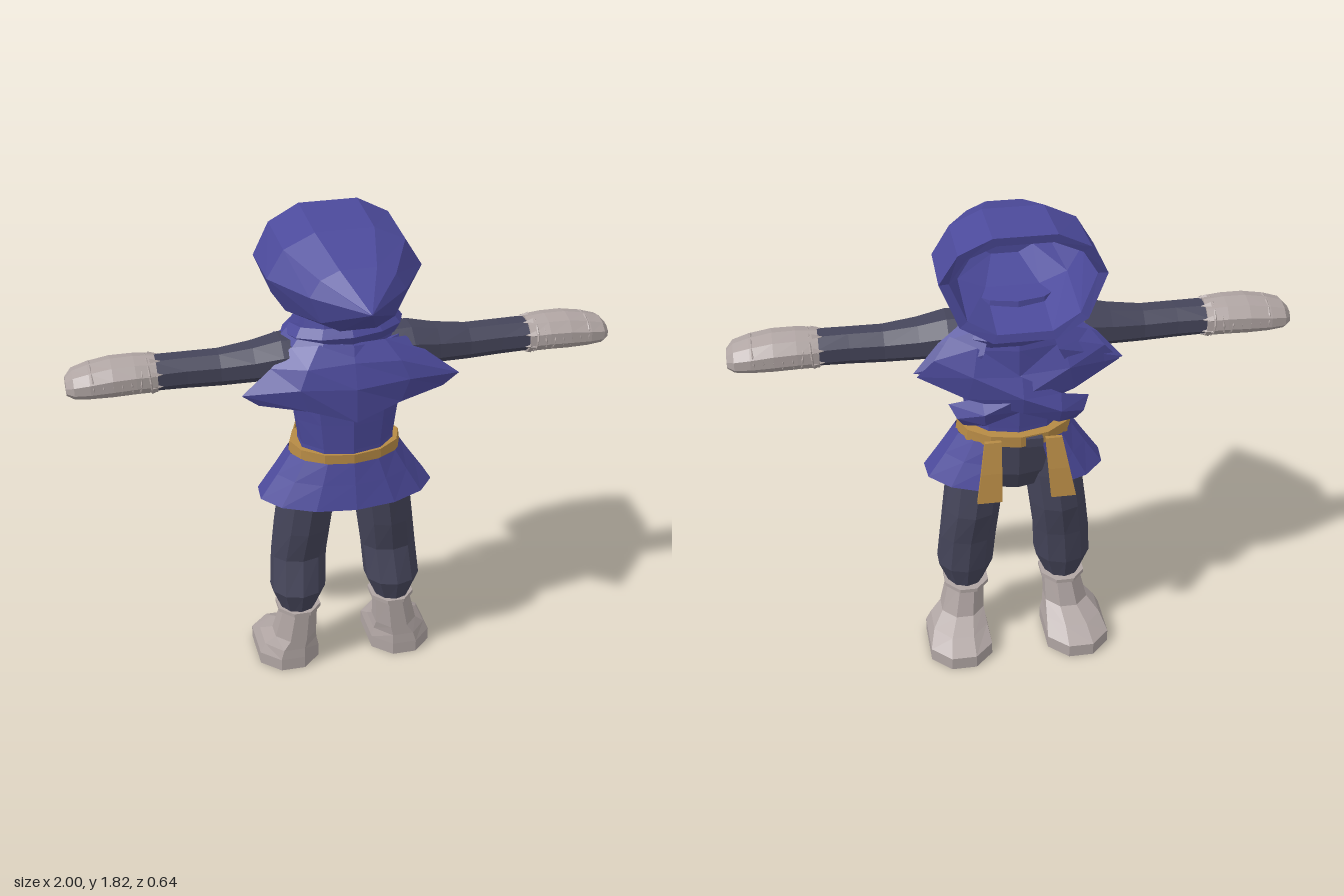
import * as THREE from 'three';

const make = (name, color, side = THREE.FrontSide) =>
  new THREE.MeshStandardMaterial({ name, color, side, flatShading: true });

// Joins rows of points into faces; closed rows are capped and turned outward.
function loft(rows, closed = true) {
  const n = rows[0].length, pos = [], idx = [];
  rows.forEach(r => r.forEach(p => pos.push(...p)));
  const cols = closed ? n : n - 1;
  for (let i = 0; i < rows.length - 1; i++) for (let j = 0; j < cols; j++) {
    const a = i * n + j, b = i * n + (j + 1) % n;
    idx.push(a, b, b + n, a, b + n, a + n);
  }
  if (closed) {
    [0, rows.length - 1].forEach((k, e) => {
      const c = [0, 1, 2].map(q => rows[k].reduce((s, p) => s + p[q], 0) / n);
      const ci = pos.length / 3;
      pos.push(...c);
      for (let j = 0; j < n; j++) {
        const a = k * n + j, b = k * n + (j + 1) % n;
        if (e) idx.push(ci, a, b); else idx.push(ci, b, a);
      }
    });
    // Reverse the faces when the enclosed volume comes out negative
    const v = i => new THREE.Vector3().fromArray(pos, i * 3);
    let vol = 0;
    for (let i = 0; i < idx.length; i += 3) vol += v(idx[i]).dot(v(idx[i + 1]).cross(v(idx[i + 2])));
    if (vol < 0) idx.reverse();
  }
  const g = new THREE.BufferGeometry();
  g.setAttribute('position', new THREE.Float32BufferAttribute(pos, 3));
  g.setIndex(idx);
  const flat = g.toNonIndexed();
  flat.computeVertexNormals();
  return flat;
}

// Horizontal ellipse; angle 0 lies at the face side (-z)
const ellipse = (cx, y, cz, rx, rz, n = 12, from = 0, to = Math.PI * 2, open = false) =>
  Array.from({ length: n }, (_, i) => {
    const a = from + (to - from) * i / (open ? n - 1 : n);
    return [cx + rx * Math.sin(a), y, cz - rz * Math.cos(a)];
  });

export function createModel() {
  const model = new THREE.Group();
  model.name = 'hoodedFigure';
  const blue = make('blue cloth', 0x4c4a9b);
  const blueOpen = make('blue drape', 0x4c4a9b, THREE.DoubleSide);
  const dark = make('dark cloth', 0x45455a);
  const beige = make('pale leather', 0xb0a5a3);
  const gold = make('ochre sash', 0xb68a45);
  const add = (name, geo, mat) => {
    const m = new THREE.Mesh(geo, mat);
    m.name = name;
    model.add(m);
    return m;
  };

  // Pointed hood: hollow shell from the rear point to the mouth and back inside
  const hoodRing = (z, w, top, mid, bottom, bend = 0) => {
    const half = [[0.38, top, -1], [0.78, mid + (top - mid) * 0.66, -0.4], [1, mid, 1],
      [0.77, mid + (bottom - mid) * 0.72, 0], [0.38, bottom, -1]];
    const right = half.map(([x, y, b]) => [x * w, y, z + b * bend]);
    return [...right, ...right.slice().reverse().map(([x, y, q]) => [-x, y, q])];
  };
  add('hood', loft([
    hoodRing(0.325, 0.004, 1.648, 1.645, 1.642),
    hoodRing(0.14, 0.17, 1.735, 1.645, 1.51),
    hoodRing(-0.055, 0.28, 1.80, 1.645, 1.47),
    hoodRing(-0.30, 0.285, 1.815, 1.645, 1.425, 0.015),
    hoodRing(-0.295, 0.25, 1.785, 1.645, 1.455, 0.015),
    hoodRing(-0.05, 0.25, 1.77, 1.645, 1.50),
    hoodRing(0.12, 0.13, 1.70, 1.645, 1.54),
  ]), blue);

  // Tunic body and neck
  add('tunic', loft([[0.95, 0.185, 0.14], [1.0, 0.18, 0.14], [1.1, 0.195, 0.142], [1.22, 0.215, 0.145],
    [1.32, 0.235, 0.14], [1.40, 0.18, 0.125], [1.50, 0.16, 0.11]]
    .map(([y, rx, rz]) => ellipse(0, y, -0.06, rx, rz, 10))), blue);

  // Flared tunic skirt, split at the face side
  const gap = 0.38;
  add('skirt', loft([[0.95, 0.215, 0.16], [0.87, 0.268, 0.178], [0.775, 0.335, 0.2]]
    .map(([y, rx, rz]) => ellipse(0, y, -0.07, rx, rz, 13, gap, Math.PI * 2 - gap, true)), false), blueOpen);
  add('hips', loft([[0.72, 0.12, 0.09], [0.80, 0.19, 0.125], [0.95, 0.19, 0.14]]
    .map(([y, rx, rz]) => ellipse(0, y, -0.075, rx, rz, 10))), dark);

  // Sash with two hanging tails
  add('sash', loft([[0.943, 0.213], [0.985, 0.208]].map(([y, rx]) => ellipse(0, y, -0.073, rx, 0.162, 12))), gold);
  [[0.1, 0.02], [-0.12, -0.03]].forEach(([x, lean]) => {
    const row = (y, z, w, dx) => [[x + dx - w, y, z], [x + dx + w, y, z],
      [x + dx + w, y, z + 0.015], [x + dx - w, y, z + 0.015]];
    add('sashTail', loft([row(0.975, -0.24, 0.03, 0), row(0.86, -0.268, 0.038, lean / 2),
      row(0.75, -0.288, 0.045, lean)]), gold);
  });
  const knot = add('sashKnot', new THREE.BoxGeometry(0.06, 0.035, 0.04), dark);
  knot.position.set(-0.05, 0.962, -0.222);

  // Neck scarf: two tilted wraps
  [[1.435, 0.185, 0.135, 0.05, -0.08], [1.39, 0.2, 0.145, -0.08, 0.06]].forEach(([y, rx, rz, roll, pitch]) => {
    const g = new THREE.TorusGeometry(1, 0.19, 5, 12);
    g.rotateX(Math.PI / 2);
    g.scale(rx, 0.19, rz);
    g.rotateZ(roll);
    g.rotateX(pitch);
    add('scarfWrap', g, blue).position.set(0, y, -0.085);
  });

  // Rear shawl: winged at the shoulders, pointed at the bottom
  const across = half => [...half.map(([x, y, z]) => [-x, y, z]).reverse(), ...half.slice(1)];
  add('rearShawl', loft([
    across([[0, 1.42, 0.06], [0.12, 1.42, 0.05], [0.21, 1.40, 0.0]]),
    across([[0, 1.36, 0.10], [0.17, 1.35, 0.095], [0.29, 1.34, 0.03]]),
    across([[0, 1.27, 0.13], [0.2, 1.28, 0.11], [0.40, 1.255, 0.05]]),
    across([[0, 1.14, 0.13], [0.17, 1.19, 0.1], [0.34, 1.21, 0.05]]),
  ], false), blueOpen);

  // Crossed shawl ends over the chest, each running to the opposite flank
  [[1, 0], [-1, 0.015]].forEach(([s, back]) => {
    const strip = [[0.21, 1.40, 0.26, 1.37, -0.12], [0.36, 1.25, 0.24, 1.39, -0.2], [0.19, 1.17, 0.15, 1.36, -0.245],
      [0.0, 1.115, 0.0, 1.25, -0.28], [-0.13, 1.065, -0.14, 1.17, -0.275], [-0.20, 1.04, -0.25, 1.12, -0.22]];
    add('crossedShawl', loft(strip.slice(1).map(([x, y, X, Y, z]) =>
      [[s * x, y, z + back], [s * (x + X) / 2, (y + Y) / 2, z + back - 0.018], [s * X, Y, z + back + 0.02]]), false), blueOpen);
    // Shoulder flap joining scarf and crossed end
    add('shoulderFlap', loft([
      [[s * 0.1, 1.43, -0.2], [s * 0.2, 1.41, -0.14]],
      [[s * 0.13, 1.34, -0.24], [s * 0.28, 1.36, -0.17]],
      [[s * 0.18, 1.24, -0.23], [s * 0.37, 1.26, -0.19]],
    ], false), blueOpen);
  });

  // Section across an arm, in the y-z plane
  const armRing = (s, x, y, ry, rz, n = 8) => Array.from({ length: n }, (_, i) => {
    const a = (i + 0.5) / n * Math.PI * 2;
    return [s * x, y + ry * Math.sin(a) * 1.06, -0.068 + rz * Math.cos(a) * 1.06];
  });
  // Chamfered rectangular section of a boot
  const bootRing = (s, y, x0, x1, z0, z1, c = 0.3) => {
    const dx = (x1 - x0) * c, dz = Math.min((z0 - z1) * c, 0.07);
    return [[x0, z0 - dz], [x0 + dx, z0], [x1 - dx, z0], [x1, z0 - dz],
      [x1, z1 + dz], [x1 - dx, z1], [x0 + dx, z1], [x0, z1 + dz]].map(([x, z]) => [s * x, y, z]);
  };

  for (const s of [1, -1]) {
    const side = s > 0 ? 'left' : 'right';

    // Sleeve
    add(side + 'Sleeve', loft([[0.12, 1.34, 0.075, 0.1], [0.24, 1.342, 0.077, 0.1], [0.34, 1.33, 0.068, 0.085],
      [0.46, 1.322, 0.062, 0.07], [0.58, 1.325, 0.06, 0.069], [0.70, 1.327, 0.058, 0.075]]
      .map(r => armRing(s, ...r))), dark);

    // Mitten with wrapped bands and a ragged cuff
    const mitt = [[0.685, 1.327, 0.062, 0.08], [0.76, 1.331, 0.064, 0.087], [0.84, 1.33, 0.064, 0.09],
      [0.92, 1.324, 0.056, 0.087], [0.975, 1.318, 0.046, 0.075], [1.0, 1.31, 0.028, 0.045]];
    add(side + 'Mitten', loft(mitt.map(r => armRing(s, ...r, 10))), beige);
    for (let k = 0; k < 7; k++) {
      const band = new THREE.TorusGeometry(1, 0.05, 4, 14);
      band.rotateY(Math.PI / 2);
      band.scale(0.08, 0.064 - k * 0.0013, 0.088);
      band.rotateZ(s * (k % 2 ? 0.12 : -0.08));
      add(side + 'MittenBand', band, beige).position.set(s * (0.71 + k * 0.033), 1.327, -0.068);
    }
    for (let k = 0; k < 8; k++) {
      const a = (k + 0.5) / 8 * Math.PI * 2;
      const tab = add(side + 'CuffTab', new THREE.ConeGeometry(0.014, 0.04, 4), beige);
      tab.position.set(s * 0.685, 1.327 + 0.06 * Math.sin(a), -0.068 + 0.078 * Math.cos(a));
      tab.rotation.z = s * Math.PI / 2;
    }

    // Trouser leg
    add(side + 'Leg', loft([[0.92, 0.12, -0.075, 0.085, 0.11], [0.77, 0.143, -0.08, 0.108, 0.122],
      [0.62, 0.162, -0.09, 0.108, 0.117], [0.49, 0.178, -0.092, 0.108, 0.09],
      [0.35, 0.188, -0.068, 0.108, 0.104], [0.24, 0.19, -0.07, 0.06, 0.07]]
      .map(([y, x, z, rx, rz]) => ellipse(s * x, y, z, rx, rz, 10))), dark);

    // Boot and its cuff
    add(side + 'Boot', loft([bootRing(s, 0, 0.11, 0.345, 0.012, -0.312), bootRing(s, 0.05, 0.11, 0.345, 0.012, -0.312),
      bootRing(s, 0.09, 0.118, 0.325, 0.01, -0.24), bootRing(s, 0.13, 0.123, 0.285, 0.01, -0.165),
      bootRing(s, 0.255, 0.12, 0.255, 0.01, -0.13)]), beige);
    add(side + 'BootCuff', loft([bootRing(s, 0.25, 0.105, 0.27, 0.018, -0.168),
      bootRing(s, 0.265, 0.105, 0.27, 0.018, -0.168)]), beige);
  }
  return model;
}
